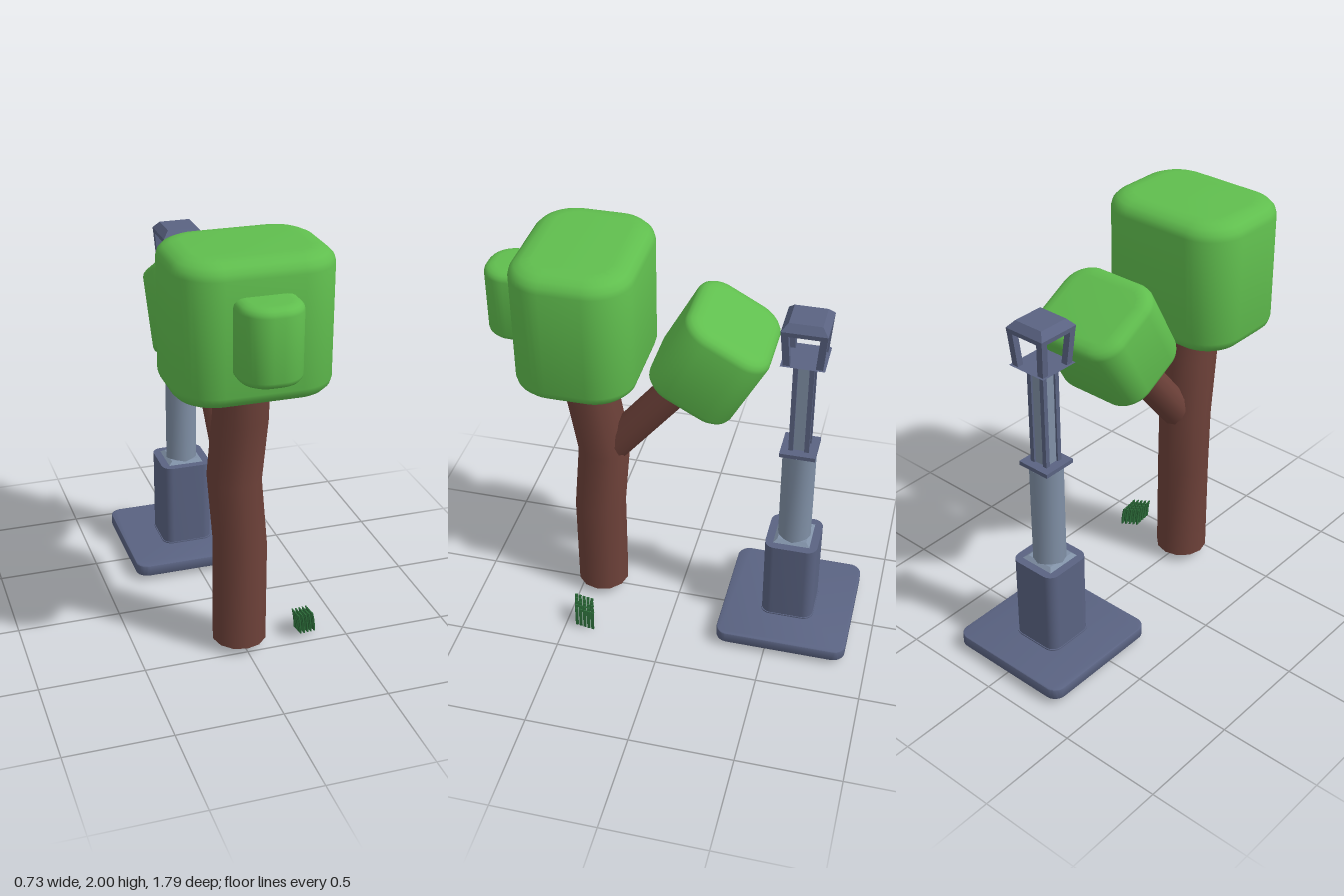
import * as THREE from 'three';
import { toCreasedNormals } from 'three/addons/utils/BufferGeometryUtils.js';

const mat = (name, color) => {
  const m = new THREE.MeshStandardMaterial({ color });
  m.name = name;
  return m;
};

export function createModel() {
  const leaf = mat('leaf green', 0x60be4e);
  const bark = mat('bark brown', 0x6d4139);
  const slate = mat('slate metal', 0x5a6382);
  const steel = mat('pale steel', 0x8090a6);
  const blade = mat('dark grass', 0x2b6a38);
  const root = new THREE.Group();
  root.name = 'treeAndLamp';

  const add = (parent, name, geo, material, x = 0, y = 0, z = 0) => {
    const mesh = new THREE.Mesh(geo, material);
    mesh.name = name;
    mesh.position.set(x, y, z);
    parent.add(mesh);
    return mesh;
  };

  // Rounded-rectangle block on its base; the rim bevel is `inset` wide and `rise` high
  const block = (w, h, d, r, inset = 0, rise = 0) => {
    const a = w / 2 - inset, b = d / 2 - inset, k = Math.max(r - inset, 0.005);
    const s = new THREE.Shape();
    s.absarc(a - k, b - k, k, 0, Math.PI / 2);
    s.absarc(-a + k, b - k, k, Math.PI / 2, Math.PI);
    s.absarc(-a + k, -b + k, k, Math.PI, Math.PI * 1.5);
    s.absarc(a - k, -b + k, k, Math.PI * 1.5, Math.PI * 2);
    const g = new THREE.ExtrudeGeometry(s, {
      depth: h - 2 * rise, bevelEnabled: inset > 0, bevelThickness: rise,
      bevelSize: inset, bevelSegments: 4, curveSegments: 5,
    });
    g.translate(0, 0, rise).rotateX(-Math.PI / 2);
    return toCreasedNormals(g, 0.6);
  };

  // Square frustum: widths at bottom and top
  const frustum = (bottom, top, h) => {
    const g = new THREE.CylinderGeometry(top * Math.SQRT1_2, bottom * Math.SQRT1_2, h, 4);
    g.rotateY(Math.PI / 4);
    return toCreasedNormals(g, 0.3);
  };

  // Rod between two points
  const rod = (p, q, r) => {
    const a = new THREE.Vector3(...p), dir = new THREE.Vector3(...q).sub(a);
    const g = new THREE.CylinderGeometry(r, r, dir.length(), 12);
    g.translate(0, dir.length() / 2, 0);
    g.applyQuaternion(new THREE.Quaternion().setFromUnitVectors(
      new THREE.Vector3(0, 1, 0), dir.normalize()));
    g.translate(a.x, a.y, a.z);
    return g;
  };

  // ---- Tree ----
  const tree = new THREE.Group();
  tree.name = 'tree';
  root.add(tree);

  // Trunk: cylinder rings moved onto a bent centre line
  const path = [
    [-0.013, 0.042, 0.405], [-0.013, 0.55, 0.405], [-0.035, 0.88, 0.382],
    [-0.024, 1.2, 0.43], [-0.024, 1.5, 0.445],
  ];
  const trunk = new THREE.CylinderGeometry(0.128, 0.128, 4, 12, 4);
  const pos = trunk.attributes.position;
  for (let i = 0; i < pos.count; i++) {
    const [x, y, z] = path[Math.round(pos.getY(i) + 2)];
    pos.setXYZ(i, pos.getX(i) + x, y, pos.getZ(i) + z);
  }
  add(tree, 'trunk', toCreasedNormals(trunk, 0.6), bark);
  add(tree, 'trunkFoot', new THREE.CircleGeometry(0.126, 12).rotateX(Math.PI / 2),
    slate, -0.013, 0.04, 0.405);
  add(tree, 'branch', rod([-0.027, 0.9, 0.328], [-0.027, 1.45, -0.119], 0.083), bark);

  // Foliage blocks
  add(tree, 'mainFoliage', block(0.715, 0.645, 0.56, 0.19, 0.1, 0.068), leaf, -0.011, 1.355, 0.437);
  add(tree, 'frontFoliage', block(0.28, 0.35, 0.34, 0.12, 0.05, 0.036), leaf, -0.014, 1.51, 0.722);
  const tilted = block(0.49, 0.42, 0.43, 0.13, 0.065, 0.045);
  tilted.translate(0, -0.21, 0);
  add(tree, 'branchFoliage', tilted, leaf, -0.011, 1.517, -0.163).rotation.x = -0.5;

  // ---- Lamp post ----
  const lamp = new THREE.Group();
  lamp.name = 'lampPost';
  lamp.position.set(-0.01, 0, -0.573);
  root.add(lamp);

  add(lamp, 'basePlate', block(0.645, 0.057, 0.64, 0.06, 0.006, 0.006), slate, 0, 0.027);
  add(lamp, 'plinth', block(0.255, 0.44, 0.255, 0.05), slate, 0, 0.08);
  add(lamp, 'plinthSkirt', block(0.264, 0.01, 0.264, 0.052), slate, 0, 0.08);
  add(lamp, 'columnFoot', frustum(0.18, 0.14, 0.016), steel, 0, 0.527);
  add(lamp, 'column', toCreasedNormals(
    new THREE.CylinderGeometry(0.08, 0.08, 0.52, 12), 0.6), steel, 0, 0.78);
  add(lamp, 'collarFlare', frustum(0.13, 0.168, 0.016), slate, 0, 1.038);
  add(lamp, 'collar', new THREE.BoxGeometry(0.168, 0.02, 0.168), slate, 0, 1.055);

  // Upper pole: pale core between four corner rails
  add(lamp, 'poleCore', new THREE.BoxGeometry(0.076, 0.475, 0.076), steel, 0, 1.2975);

  // Lantern: flared tray, leaning bars and a roof
  add(lamp, 'lanternTray', frustum(0.095, 0.2, 0.036), slate, 0, 1.543);
  for (const sx of [-1, 1]) for (const sz of [-1, 1]) {
    add(lamp, 'poleRail', new THREE.BoxGeometry(0.022, 0.475, 0.022), slate,
      sx * 0.037, 1.2975, sz * 0.037);
    const bar = new THREE.BoxGeometry(0.032, 0.18, 0.032);
    const p = bar.attributes.position;
    for (let i = 0; i < p.count; i++) {
      const off = p.getY(i) > 0 ? 0.087 : 0.073;
      p.setXYZ(i, p.getX(i) + sx * off, p.getY(i), p.getZ(i) + sz * off);
    }
    bar.computeVertexNormals();
    add(lamp, 'lanternBar', bar, slate, 0, 1.647);
  }
  add(lamp, 'lanternRim', frustum(0.204, 0.208, 0.022), slate, 0, 1.731);
  add(lamp, 'lanternRoof', frustum(0.208, 0.15, 0.033), slate, 0, 1.7585);

  // ---- Grass tuft: sloping grid of flat blades that lean over at the tip ----
  const grass = new THREE.Group();
  grass.name = 'grassTuft';
  root.add(grass);
  const bladeGeo = new THREE.BoxGeometry(0.006, 0.1, 0.014, 1, 4, 1);
  bladeGeo.translate(0, 0.05, 0);
  const bp = bladeGeo.attributes.position;
  for (let i = 0; i < bp.count; i++) {
    const t = bp.getY(i) / 0.1;
    bp.setX(i, bp.getX(i) + 0.007 - 0.012 * t * t);
  }
  bladeGeo.computeVertexNormals();
  for (let i = 0; i < 5; i++) for (let j = 0; j < 5; j++) {
    add(grass, 'grassBlade', bladeGeo, blade,
      0.269 + 0.02 * i, 0.03 - 0.004 * i - 0.0035 * j, 0.468 - 0.007 * i - 0.02 * j);
  }
  return root;
}
